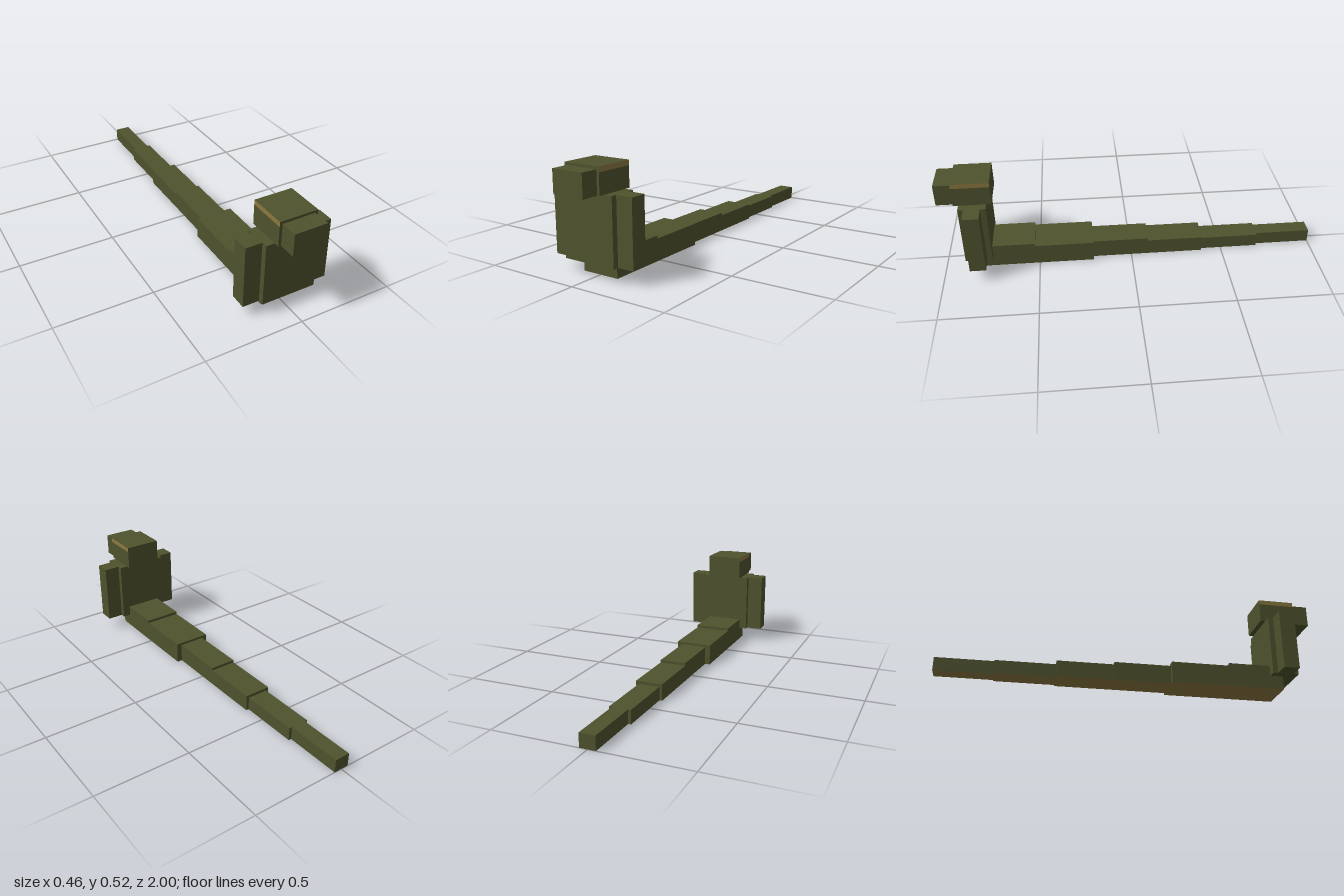
import * as THREE from 'three';

export function createModel() {
  const model = new THREE.Group();
  model.name = 'model';
  const olive = new THREE.MeshStandardMaterial({ color: 0x4f532d });
  olive.name = 'olive';
  const tan = new THREE.MeshStandardMaterial({ color: 0x8b7840 });
  tan.name = 'tan';

  // Box from its extents; material may be one per face (+x, -x, +y, -y, +z, -z)
  function block(name, [x0, x1], [y0, y1], [z0, z1], material = olive) {
    const mesh = new THREE.Mesh(new THREE.BoxGeometry(x1 - x0, y1 - y0, z1 - z0), material);
    mesh.position.set((x0 + x1) / 2, (y0 + y1) / 2, (z0 + z1) / 2);
    mesh.name = name;
    model.add(mesh);
  }

  // Head with a tan band along the upper edge of both sides
  block('head', [-0.099, 0.099], [0.398, 0.5], [0.718, 0.913]);
  block('headBand', [-0.099, 0.099], [0.5, 0.525], [0.718, 0.913],
    [tan, tan, olive, olive, olive, olive]);
  block('snout', [-0.085, 0.085], [0.398, 0.512], [0.913, 1]);

  // Upright body with a narrower slab on each side
  block('body', [-0.142, 0.142], [0.072, 0.398], [0.745, 0.886]);
  block('leftSlab', [0.142, 0.228], [0.072, 0.398], [0.773, 0.857]);
  block('rightSlab', [-0.228, -0.142], [0.072, 0.398], [0.773, 0.857]);

  // Tapering tail, tan underneath: [front z, back z, half width, height]
  const tail = [
    [0.815, 0.52, 0.099, 0.128],
    [0.52, 0.208, 0.099, 0.113],
    [0.208, -0.092, 0.071, 0.1],
    [-0.092, -0.39, 0.071, 0.086],
    [-0.39, -0.702, 0.056, 0.071],
    [-0.702, -1, 0.041, 0.071],
  ];
  tail.forEach(([front, back, w, h], i) => {
    block(`tailSegment${i + 1}`, [-w, w], [0, h], [back, front],
      [olive, olive, olive, tan, olive, olive]);
  });

  return model;
}
